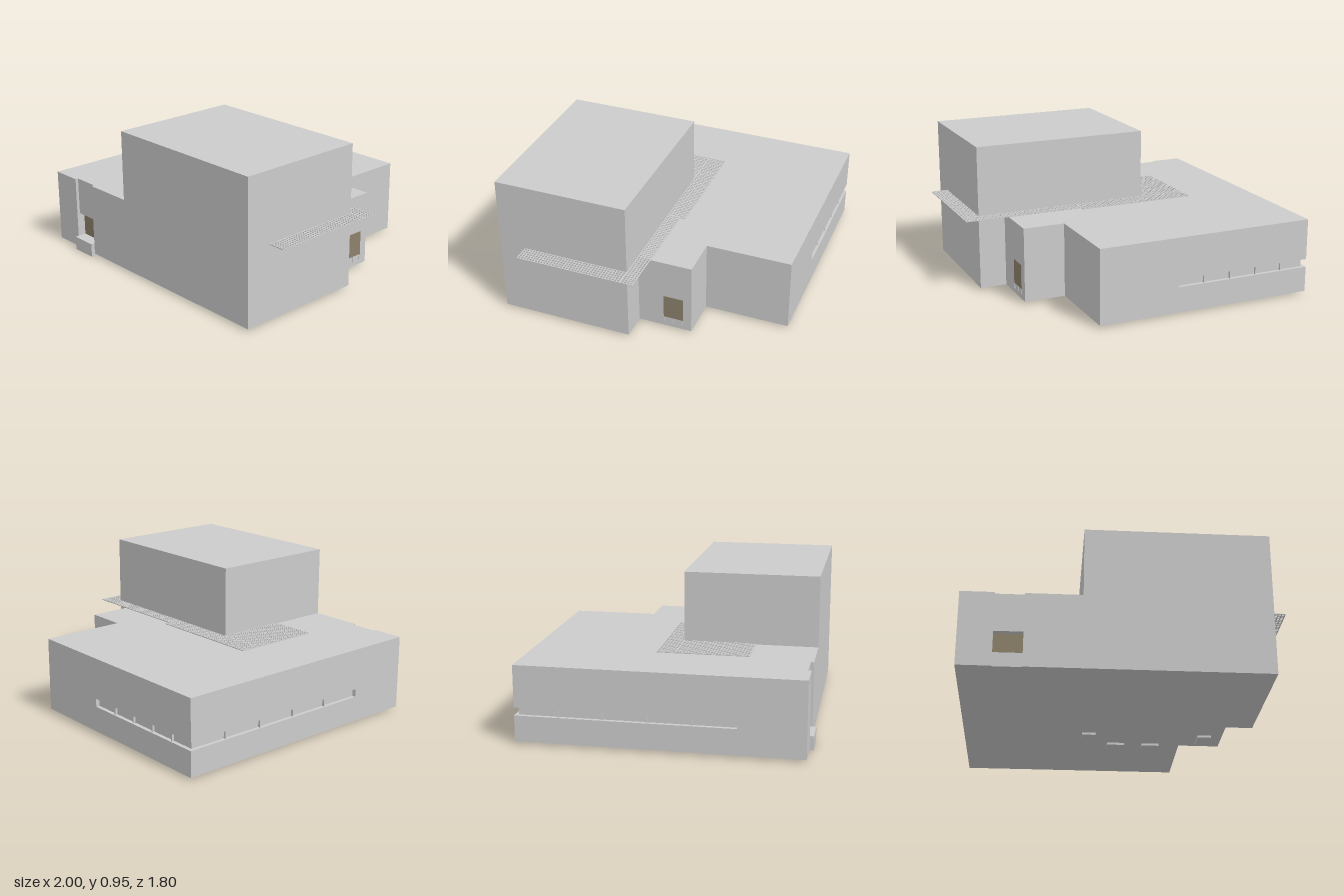
import * as THREE from 'three';
import { mergeGeometries } from 'three/addons/utils/BufferGeometryUtils.js';

const grey = new THREE.MeshStandardMaterial({ color: 0xcccccc });
const brown = new THREE.MeshStandardMaterial({ color: 0x8d816c });

// Box given by its lower and upper limits on each axis
function boxGeometry(x0, x1, y0, y1, z0, z1) {
  return new THREE.BoxGeometry(x1 - x0, y1 - y0, z1 - z0)
    .translate((x0 + x1) / 2, (y0 + y1) / 2, (z0 + z1) / 2);
}

export function createModel() {
  const model = new THREE.Group();

  function add(name, geometry, material = grey) {
    const mesh = new THREE.Mesh(geometry, material);
    mesh.name = name;
    model.add(mesh);
  }
  const box = (name, limits, material) => add(name, boxGeometry(...limits), material);

  // Ground floor: a stepped plan with the entrance niche, in three layers;
  // the middle layer is set back where the corner ribbon window runs
  const base = 0.015, roof = 0.498, sill = 0.18, head = 0.232;
  const slotX = -0.08, slotZ = 0.465, depth = 0.025;
  const frontPlan = [
    [-1, 0.875], [-0.79, 0.875], [-0.79, 0.815], [-0.61, 0.815], [-0.61, 0.875],
    [0.89, 0.875], [0.89, 0.01], [0.715, 0.01], [0.715, -0.345], [0.445, -0.345], [0.445, -0.9],
  ];
  const fullCorner = [[-1, -0.9]];
  const slotCorner = [
    [slotX, -0.9], [slotX, -0.9 + depth], [-1 + depth, -0.9 + depth], [-1 + depth, slotZ], [-1, slotZ],
  ];
  function storey(name, y0, y1, corner) {
    const shape = new THREE.Shape([...frontPlan, ...corner].map(([x, z]) => new THREE.Vector2(x, -z)));
    const geometry = new THREE.ExtrudeGeometry(shape, { depth: y1 - y0, bevelEnabled: false });
    add(name, geometry.rotateX(-Math.PI / 2).translate(0, y0, 0));
  }
  storey('lowerWalls', base, sill, fullCorner);
  storey('windowBandWalls', sill, head, slotCorner);
  storey('upperWalls', head, roof, fullCorner);

  // Upright bars dividing the ribbon window
  const mullions = [];
  for (let i = 1; i < 5; i++) {
    const x = -1 + (slotX + 1) * i / 5;
    const z = -0.9 + (slotZ + 0.9) * i / 5;
    mullions.push(boxGeometry(x - 0.004, x + 0.004, sill, head, -0.89, -0.875));
    mullions.push(boxGeometry(-0.99, -0.975, sill, head, z - 0.004, z + 0.004));
  }
  add('windowMullions', mergeGeometries(mullions));

  // Upper storey block
  box('upperStorey', [-0.26, 0.89, roof - 0.01, 0.955, 0.01, 0.875]);

  // Front entrance
  box('entranceLintel', [-0.79, -0.61, 0.25, roof, 0.81, 0.855]);
  box('entrancePanel', [-0.79, -0.61, 0.09, 0.25, 0.81, 0.82], brown);
  box('entranceStep', [-0.79, -0.61, 0, 0.09, 0.815, 0.9]);

  // Side door panel on three thin legs
  box('sideDoorPanel', [0.71, 0.719, 0.085, 0.245, -0.29, -0.16], brown);
  for (const z of [-0.287, -0.225, -0.163]) {
    box('sideDoorLeg', [0.712, 0.719, 0.045, 0.085, z - 0.002, z + 0.002]);
  }

  // Foundation pads below the floor
  const pads = [
    [0.55, 0.64, -0.29, -0.145], [0.19, 0.305, -0.41, -0.32],
    [-0.045, 0.07, -0.41, -0.32], [-0.22, -0.13, -0.23, -0.145],
  ];
  for (const [x0, x1, z0, z1] of pads) box('foundationPad', [x0, x1, 0, base + 0.002, z0, z1]);

  // Pergola lattice: crossing thin bars over each rectangle
  function lattice(name, x0, x1, z0, z1) {
    const bars = [], w = 0.006, pitch = 0.019, y0 = 0.499, y1 = 0.504;
    const nx = Math.round((x1 - x0 - w) / pitch);
    const nz = Math.round((z1 - z0 - w) / pitch);
    for (let i = 0; i <= nx; i++) {
      const x = x0 + (x1 - x0 - w) * i / nx;
      bars.push(boxGeometry(x, x + w, y0, y1, z0, z1));
    }
    for (let i = 0; i <= nz; i++) {
      const z = z0 + (z1 - z0 - w) * i / nz;
      bars.push(boxGeometry(x0, x1, y0 - 0.0005, y1 - 0.0005, z, z + w));
    }
    add(name, mergeGeometries(bars));
  }
  lattice('pergolaRoofSide', -0.565, -0.26, 0.01, 0.475);
  lattice('pergolaRoofBack', -0.565, 0.215, -0.11, 0.01);
  lattice('pergolaBack', 0.215, 1, -0.075, 0.01);
  lattice('pergolaSide', 0.89, 1, 0.01, 0.705);

  return model;
}
